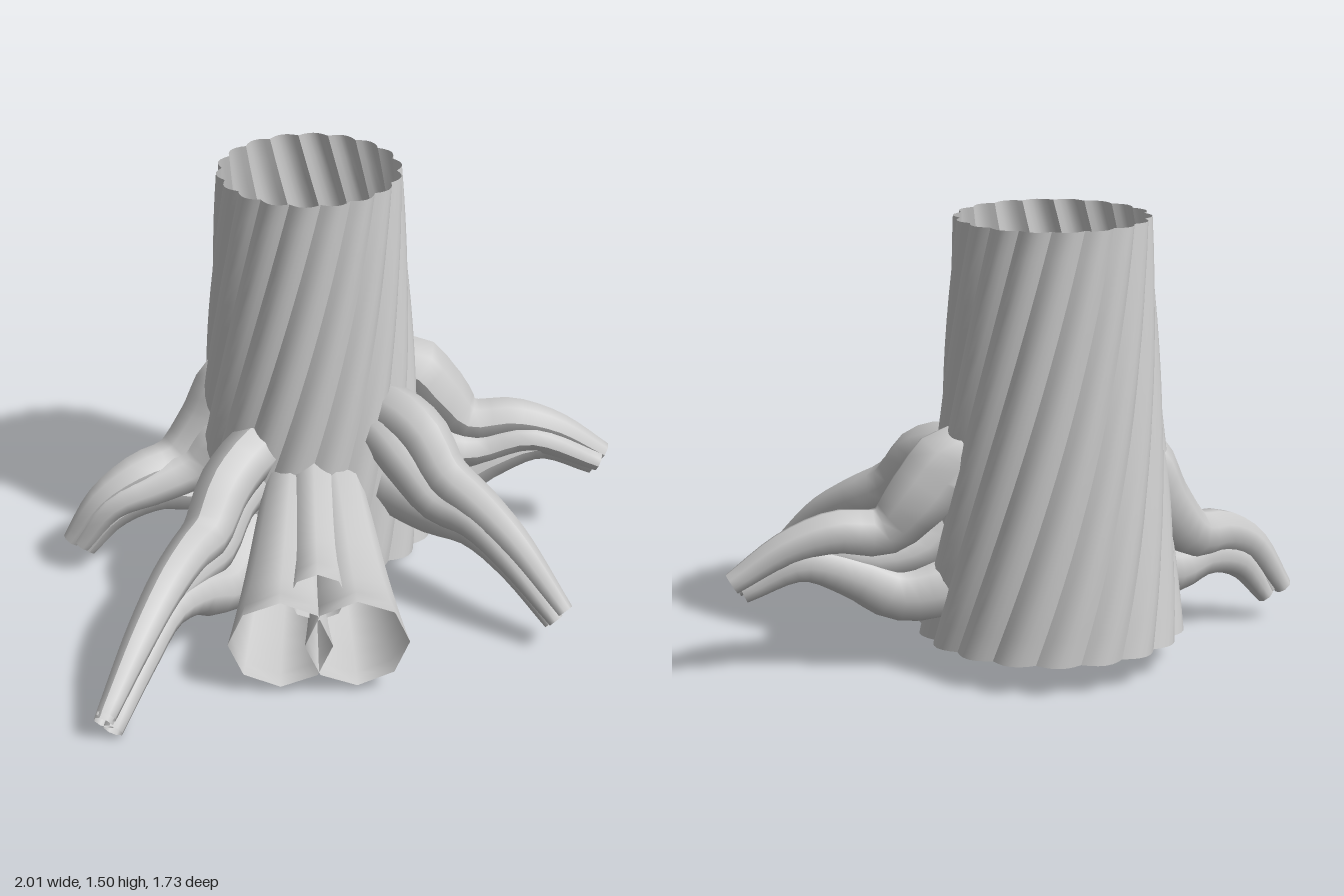
import * as THREE from 'three';
import { toCreasedNormals } from 'three/addons/utils/BufferGeometryUtils.js';

const material = new THREE.MeshStandardMaterial({ color: 0xcccccc, side: THREE.DoubleSide });

// Hollow trunk: scalloped ridges that twist as they rise, flaring at the foot
function makeTrunk() {
  const ridges = 18, bottom = 0.12, height = 1.4, twist = 1.15;
  const geo = new THREE.CylinderGeometry(1, 1, 1, ridges * 6, 16, true);
  const p = geo.attributes.position;
  for (let i = 0; i < p.count; i++) {
    const t = p.getY(i) + 0.5;
    const a = Math.atan2(p.getX(i), p.getZ(i));
    const flare = 0.325 + 0.075 * (1 - t) + 0.05 * (1 - t) ** 2;
    const r = flare * (0.935 + 0.065 * Math.abs(Math.sin(a * ridges / 2)));
    const b = a + twist * t;
    p.setXYZ(i, -0.1 + r * Math.sin(b), bottom + height * t, -0.42 + r * Math.cos(b));
  }
  const mesh = new THREE.Mesh(toCreasedNormals(geo, 0.55), material);
  mesh.name = 'trunk';
  return mesh;
}

// Open eight-sided tube through points [x, y, z, radius]
function strand(name, points) {
  const curve = new THREE.CatmullRomCurve3(points.map(([x, y, z]) => new THREE.Vector3(x, y, z)));
  const segments = (points.length - 1) * 4, sides = 8;
  const geo = new THREE.TubeGeometry(curve, segments, 1, sides, false);
  const p = geo.attributes.position, v = new THREE.Vector3();
  for (let i = 0; i <= segments; i++) {
    const u = i / segments, centre = curve.getPointAt(u);
    const s = curve.getUtoTmapping(u) * (points.length - 1);
    const k = Math.min(Math.floor(s), points.length - 2);
    const r = THREE.MathUtils.lerp(points[k][3], points[k + 1][3], s - k);
    for (let j = 0; j <= sides; j++) {
      const n = i * (sides + 1) + j;
      v.fromBufferAttribute(p, n).sub(centre).multiplyScalar(r).add(centre);
      p.setXYZ(n, v.x, v.y, v.z);
    }
  }
  geo.computeVertexNormals();
  const mesh = new THREE.Mesh(geo, material);
  mesh.name = name;
  return mesh;
}

// Each root is a bundle of an upper, a lower and a side strand
const roots = {
  frontLeftRoot: {
    upper: [[-0.02, 0.6, -0.4, 0.09], [0.17, 0.69, -0.2, 0.095], [0.28, 0.65, -0.09, 0.095],
      [0.36, 0.53, 0.0, 0.085], [0.47, 0.46, 0.09, 0.075], [0.59, 0.37, 0.2, 0.06], [0.76, 0.17, 0.34, 0.032]],
    lower: [[0, 0.45, -0.4, 0.1], [0.18, 0.4, -0.19, 0.11], [0.32, 0.37, -0.05, 0.095],
      [0.46, 0.36, 0.07, 0.075], [0.58, 0.28, 0.19, 0.055], [0.72, 0.12, 0.33, 0.03]],
    side: [[-0.02, 0.55, -0.36, 0.09], [0.13, 0.63, -0.16, 0.085], [0.23, 0.55, -0.05, 0.085],
      [0.33, 0.44, 0.02, 0.075], [0.45, 0.41, 0.11, 0.065], [0.57, 0.32, 0.22, 0.05], [0.73, 0.14, 0.35, 0.028]],
  },
  leftRoot: {
    upper: [[0, 0.55, -0.44, 0.1], [0.23, 0.74, -0.46, 0.12], [0.36, 0.61, -0.47, 0.115],
      [0.47, 0.5, -0.46, 0.085], [0.64, 0.505, -0.46, 0.075], [0.8, 0.46, -0.46, 0.058], [0.98, 0.35, -0.46, 0.038]],
    lower: [[0.05, 0.36, -0.45, 0.1], [0.28, 0.29, -0.45, 0.11], [0.43, 0.28, -0.45, 0.095],
      [0.57, 0.35, -0.45, 0.08], [0.74, 0.4, -0.45, 0.062], [0.94, 0.31, -0.44, 0.036]],
    side: [[0, 0.45, -0.4, 0.09], [0.21, 0.55, -0.36, 0.105], [0.35, 0.43, -0.41, 0.09],
      [0.5, 0.4, -0.43, 0.075], [0.7, 0.44, -0.43, 0.06], [0.96, 0.33, -0.425, 0.036]],
  },
  rightRoot: {
    upper: [[-0.15, 0.55, -0.44, 0.1], [-0.37, 0.71, -0.45, 0.11], [-0.48, 0.53, -0.43, 0.105],
      [-0.6, 0.4, -0.38, 0.085], [-0.73, 0.38, -0.31, 0.075], [-0.86, 0.31, -0.26, 0.055], [-0.98, 0.14, -0.25, 0.032]],
    lower: [[-0.15, 0.4, -0.42, 0.1], [-0.38, 0.33, -0.42, 0.1], [-0.52, 0.28, -0.38, 0.09],
      [-0.66, 0.3, -0.32, 0.075], [-0.81, 0.25, -0.26, 0.058], [-0.92, 0.11, -0.24, 0.032]],
    side: [[-0.15, 0.5, -0.4, 0.09], [-0.38, 0.52, -0.36, 0.1], [-0.52, 0.39, -0.35, 0.09],
      [-0.67, 0.34, -0.29, 0.075], [-0.82, 0.29, -0.24, 0.055], [-0.94, 0.13, -0.23, 0.032]],
  },
  frontRightRoot: {
    upper: [[-0.14, 0.5, -0.38, 0.09], [-0.3, 0.57, -0.14, 0.1], [-0.41, 0.5, 0.0, 0.1],
      [-0.48, 0.39, 0.14, 0.09], [-0.54, 0.39, 0.27, 0.075], [-0.61, 0.36, 0.42, 0.068], [-0.7, 0.27, 0.61, 0.056],
      [-0.81, 0.12, 0.84, 0.036]],
    lower: [[-0.14, 0.35, -0.36, 0.1], [-0.33, 0.24, -0.08, 0.1], [-0.43, 0.17, 0.13, 0.1],
      [-0.52, 0.24, 0.28, 0.08], [-0.61, 0.27, 0.44, 0.065], [-0.69, 0.19, 0.61, 0.054], [-0.79, 0.05, 0.82, 0.036]],
    side: [[-0.14, 0.42, -0.36, 0.09], [-0.38, 0.43, -0.06, 0.1], [-0.46, 0.31, 0.1, 0.09],
      [-0.54, 0.32, 0.27, 0.075], [-0.64, 0.31, 0.45, 0.06], [-0.72, 0.22, 0.61, 0.052], [-0.82, 0.08, 0.82, 0.036]],
  },
};

export function createModel() {
  const model = new THREE.Group();
  model.name = 'treeStump';
  model.add(makeTrunk());

  for (const [name, strands] of Object.entries(roots)) {
    const root = new THREE.Group();
    root.name = name;
    for (const [part, points] of Object.entries(strands)) root.add(strand(part + 'Strand', points));
    model.add(root);
  }

  // Broad front root: two strands widening toward the open end, a shorter one on top
  const front = new THREE.Group();
  front.name = 'frontRoot';
  for (const s of [-1, 1]) {
    front.add(strand(s < 0 ? 'rightStrand' : 'leftStrand', [
      [-0.1 + s * 0.05, 0.5, -0.38, 0.08], [-0.1 + s * 0.085, 0.42, 0, 0.105],
      [-0.1 + s * 0.112, 0.28, 0.3, 0.14], [-0.1 + s * 0.125, 0.23, 0.46, 0.16],
      [-0.1 + s * 0.13, 0.22, 0.59, 0.178]]));
  }
  front.add(strand('topStrand', [
    [-0.1, 0.55, -0.36, 0.08], [-0.1, 0.46, 0, 0.085], [-0.1, 0.35, 0.3, 0.09], [-0.1, 0.33, 0.47, 0.1]]));
  model.add(front);

  // Short root running down inside the hollow trunk
  model.add(strand('innerRoot', [[-0.14, 0.44, -0.61, 0.11], [-0.14, 0.28, -0.46, 0.09], [-0.15, 0.13, -0.25, 0.06]]));
  return model;
}
